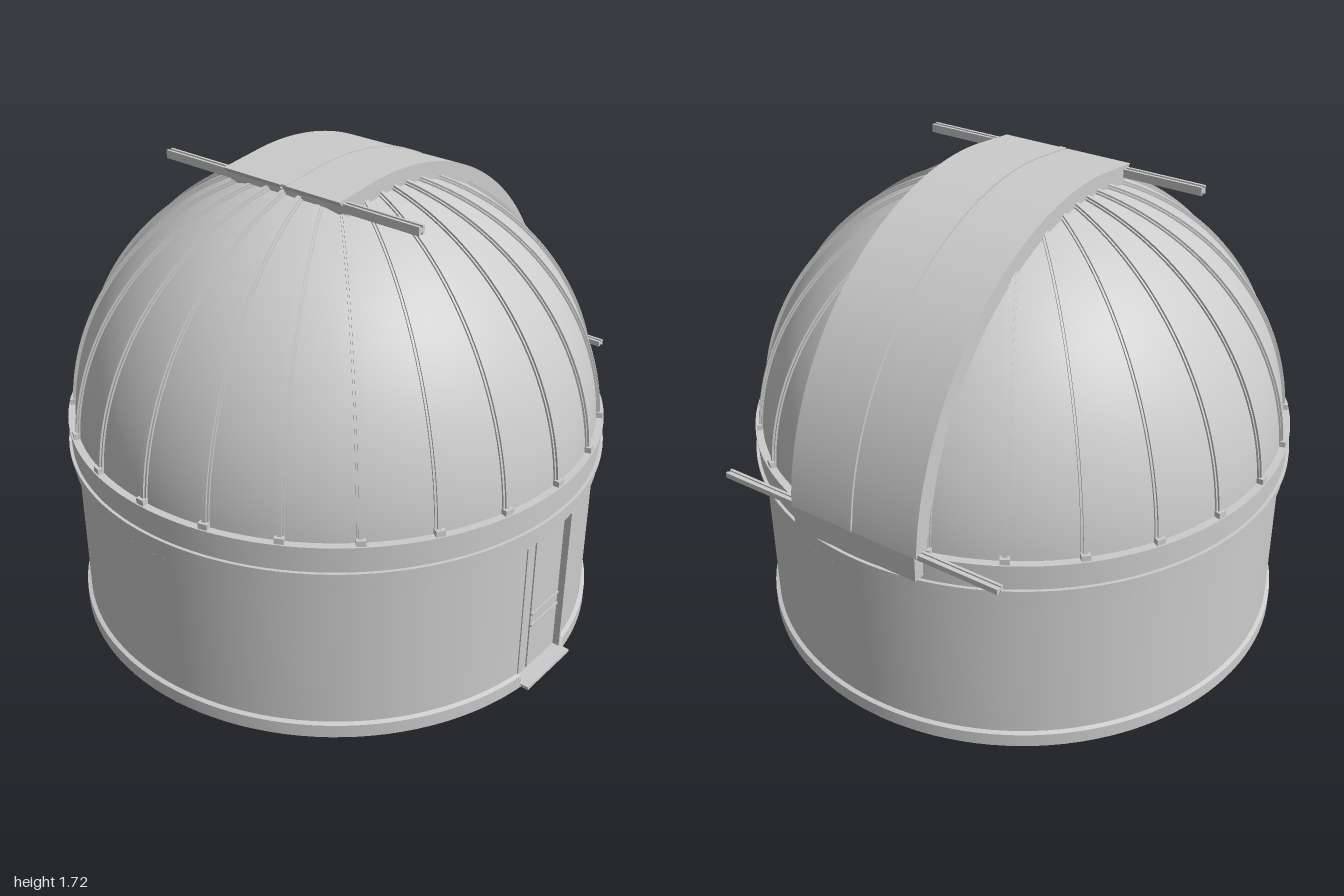
import * as THREE from 'three';
import { toCreasedNormals } from 'three/addons/utils/BufferGeometryUtils.js';

const CX = -0.005, CZ = -0.003;      // axis of the round building
const DOME_Y = 0.73, DOME_R = 0.965; // dome centre height and radius
const DOOR_ANGLE = 0.139;            // half angle of the doorway

export function createModel() {
  const model = new THREE.Group();
  model.name = 'observatory';
  const mat = new THREE.MeshStandardMaterial({ color: 0xcccccc, side: THREE.DoubleSide });

  function add(name, geo, x = 0, y = 0, z = 0, parent = model) {
    const mesh = new THREE.Mesh(geo, mat);
    mesh.name = name;
    mesh.position.set(x, y, z);
    parent.add(mesh);
    return mesh;
  }
  const box = (name, w, h, d, x, y, z, parent) =>
    add(name, new THREE.BoxGeometry(w, h, d), x, y, z, parent);
  function lathe(name, profile, start = 0, length = Math.PI * 2) {
    const pts = profile.map(([r, y]) => new THREE.Vector2(r, y));
    const geo = toCreasedNormals(new THREE.LatheGeometry(pts, 120, start, length), 0.5);
    return add(name, geo, CX, 0, CZ);
  }

  // Lower wall with plinth, open at the doorway
  lathe('lowerWall', [[0.985, 0.004], [0.985, 0.055], [0.97, 0.06], [0.97, 0.6]],
    DOOR_ANGLE, Math.PI * 2 - 2 * DOOR_ANGLE);
  // Upper wall, ring beam and lip
  lathe('upperWall', [
    [0.9, 0.6], [0.97, 0.6], [0.97, 0.625], [0.985, 0.625], [0.985, 0.68], [0.996, 0.68],
    [0.996, 0.694], [0.985, 0.694], [0.985, 0.78], [0.99, 0.78], [0.99, 0.79], [0.93, 0.79],
  ]);
  // Closed underside
  const floor = add('floor', new THREE.CircleGeometry(0.985, 120), CX, 0.004, CZ);
  floor.rotation.x = Math.PI / 2;

  // Recessed door
  const door = new THREE.Group();
  door.name = 'door';
  model.add(door);
  box('narrowLeaf', 0.082, 0.59, 0.02, -0.097, 0.305, 0.925, door);
  box('wideLeaf', 0.184, 0.59, 0.02, 0.045, 0.305, 0.925, door);
  box('doorBacking', 0.28, 0.59, 0.01, 0, 0.305, 0.905, door);
  for (const s of [-1, 1]) box('jamb', 0.008, 0.595, 0.06, CX + s * 0.137, 0.302, 0.931, door);
  for (const y of [0.2, 0.25]) box('doorBar', 0.18, 0.008, 0.006, 0.045, y, 0.937, door);
  box('threshold', 0.27, 0.012, 0.12, 0, 0.006, 0.94, door);

  // Dome shell
  const domePoints = [];
  for (let i = 0; i <= 40; i++) {
    const a = 0.05 + (Math.PI / 2 - 0.05) * i / 40;
    domePoints.push([i === 40 ? 0 : DOME_R * Math.cos(a), DOME_Y + DOME_R * Math.sin(a)]);
  }
  lathe('dome', domePoints);

  // Ribs every 15 degrees, each a raised double strip with a small foot
  function arcBand(r0, r1, a0, a1, width) {
    const shape = new THREE.Shape();
    shape.absarc(0, 0, r1, a0, a1, false);
    shape.absarc(0, 0, r0, a1, a0, true);
    const geo = new THREE.ExtrudeGeometry(shape, { depth: width, bevelEnabled: false, curveSegments: 28 });
    geo.translate(0, 0, -width / 2);
    return toCreasedNormals(geo, 0.5);
  }
  const ribBase = arcBand(DOME_R - 0.01, DOME_R + 0.006, 0.07, 1.42, 0.028);
  const ribCap = arcBand(DOME_R, DOME_R + 0.013, 0.07, 1.42, 0.014);
  for (let i = 1; i < 24; i++) {
    const rib = new THREE.Group();
    rib.name = 'rib';
    rib.position.set(CX, DOME_Y, CZ);
    rib.rotation.y = i * Math.PI / 12;
    add('ribBase', ribBase, 0, 0, 0, rib);
    add('ribCap', ribCap, 0, 0, 0, rib);
    box('ribFoot', 0.025, 0.022, 0.032, 0.972, 0.07, 0, rib);
    model.add(rib);
  }

  // Shutter: two leaves curving from the ring over the top of the dome
  function shutterLeaf(radius, width, z0) {
    const shape = new THREE.Shape();
    shape.absarc(CX, 0.72, radius, 0.085, 1.66, false);
    shape.lineTo(-0.29, 0.692 + radius);
    shape.lineTo(-0.26, 1.655);
    shape.lineTo(-0.24, 1.58);
    shape.absarc(CX, 0.72, 0.89, 1.8, 0.1, true);
    const geo = new THREE.ExtrudeGeometry(shape, { depth: width, bevelEnabled: false, curveSegments: 64 });
    geo.translate(0, 0, z0);
    return toCreasedNormals(geo, 0.4);
  }
  add('shutterLeafBack', shutterLeaf(1.001, 0.256, -0.26));
  add('shutterLeafFront', shutterLeaf(1.001, 0.255, 0));
  add('shutterSeamGroove', shutterLeaf(0.99, 0.004, -0.004));
  add('shutterSeamStrip', shutterLeaf(1.004, 0.024, 0));
  box('shutterApron', 0.07, 0.1, 0.5, 0.955, 0.76, -0.001);

  // Slide rails, each a pair of bars on a thin web
  function rail(name, x, y, h) {
    const g = new THREE.Group();
    g.name = name;
    g.position.set(x, y, 0);
    for (const s of [-1, 1]) box('railBar', 0.01, h, 1.12, s * 0.01, 0, 0, g);
    box('railWeb', 0.012, h * 0.5, 1.12, 0, 0, 0, g);
    model.add(g);
  }
  rail('upperRail', -0.26, 1.67, 0.03);
  rail('lowerRail', 0.968, 0.805, 0.02);

  return model;
}
